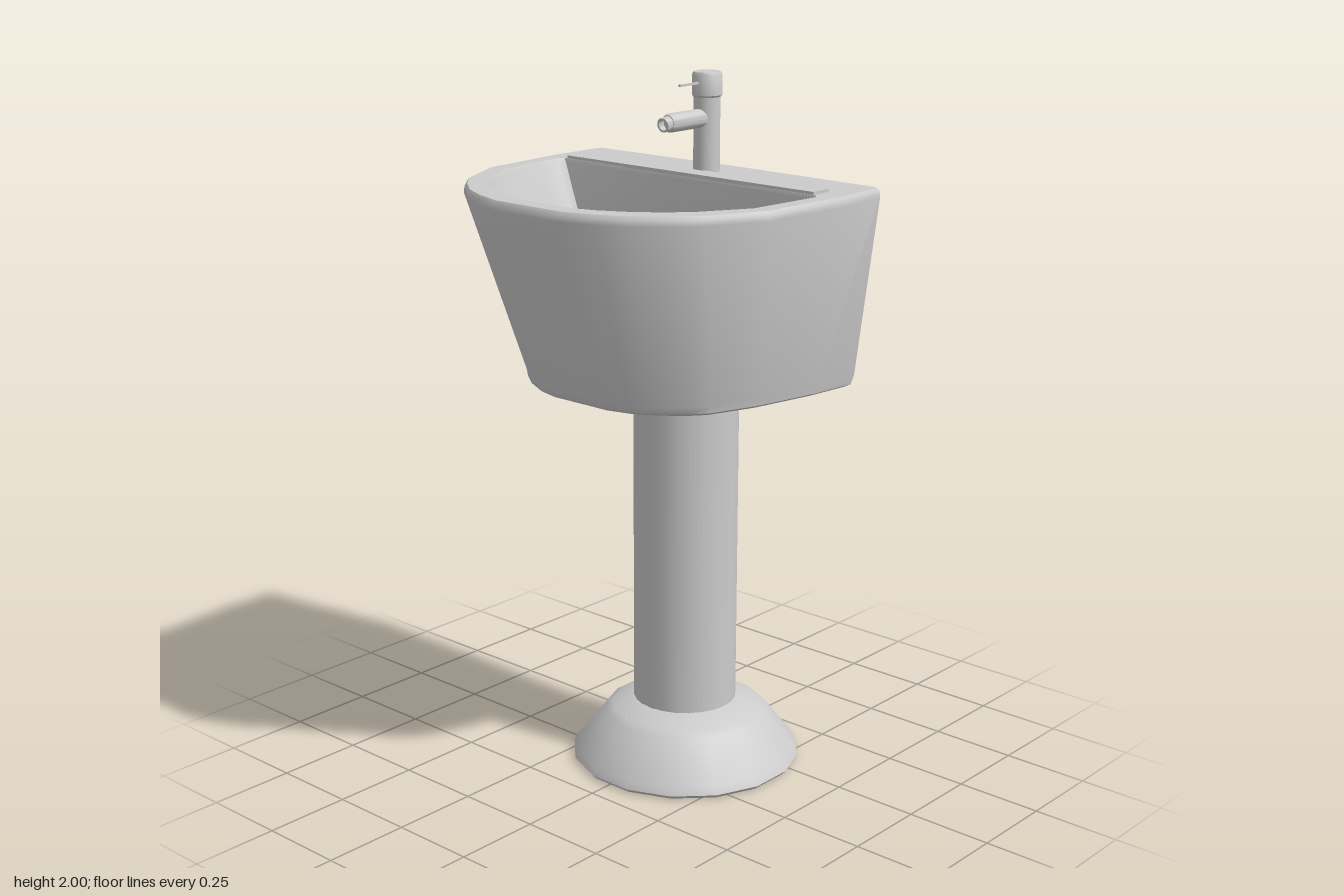
import * as THREE from 'three';
import { toCreasedNormals } from 'three/addons/utils/BufferGeometryUtils.js';

// Half outlines [x, z], from front centre round the left side to back centre
const RIM = [[0, .475], [.118, .475], [.208, .447], [.285, .41], [.366, .345], [.425, .28],
  [.505, .118], [.525, -.17], [.518, -.33], [.505, -.35], [0, -.36]];
const FOOT = [[0, .29], [.1, .29], [.17, .272], [.23, .24], [.295, .19], [.335, .14],
  [.385, 0], [.425, -.2], [.44, -.34], [.425, -.366], [0, -.374]];
const MOUTH = [[0, .41], [.1, .41], [.17, .388], [.24, .352], [.31, .3], [.365, .24],
  [.44, .11], [.453, -.03], [.46, -.115], [.448, -.133], [0, -.137]];
const FLOOR = [[0, .27], [.06, .27], [.11, .258], [.16, .235], [.205, .2], [.24, .16],
  [.285, .06], [.295, -.05], [.298, -.12], [.29, -.135], [0, -.138]];

const scale = (o, s) => o.map(([x, z]) => [x * s, .05 + (z - .05) * s]);
const mix = (a, b, t) => a.map(([x, z], i) => [x + (b[i][0] - x) * t, z + (b[i][1] - z) * t]);

// Skin a stack of mirrored outlines and close both ends
function loft(rings) {
  const pos = [], index = [];
  let n = 0;
  for (const [half, y] of rings) {
    const loop = [...half, ...half.slice(1, -1).reverse().map(([x, z]) => [-x, z])];
    n = loop.length;
    for (const [x, z] of loop) pos.push(x, y, z);
  }
  const last = (rings.length - 1) * n;
  const bottom = rings.length * n, top = bottom + 1;
  pos.push(0, rings[0][1], 0, 0, rings[rings.length - 1][1], .05);
  for (let i = 0; i < n; i++) {
    const j = (i + 1) % n;
    for (let r = 0; r < last; r += n) {
      index.push(r + i, r + j, r + n + j, r + i, r + n + j, r + n + i);
    }
    index.push(bottom, j, i, top, last + i, last + j);
  }
  const geo = new THREE.BufferGeometry();
  geo.setAttribute('position', new THREE.Float32BufferAttribute(pos, 3));
  geo.setIndex(index);
  return toCreasedNormals(geo, .75);
}

function lathe(profile, segments, phi = 0) {
  const geo = new THREE.LatheGeometry(profile.map(p => new THREE.Vector2(...p)), segments, phi);
  return toCreasedNormals(geo, .6);
}

export function createModel() {
  const model = new THREE.Group();
  model.name = 'pedestalBasin';
  const material = new THREE.MeshStandardMaterial({ color: 0xcccccc });
  const add = (name, geo, x = 0, y = 0, z = 0, parent = model) => {
    const mesh = new THREE.Mesh(geo, material);
    mesh.name = name;
    mesh.position.set(x, y, z);
    parent.add(mesh);
    return mesh;
  };

  // Basin: outer wall, rounded rim, then down into the bowl
  add('basin', loft([
    [scale(FOOT, .96), 1.165], [scale(FOOT, .99), 1.172], [FOOT, 1.19],
    [RIM, 1.7], [scale(RIM, .995), 1.716], [scale(RIM, .98), 1.725],
    [scale(MOUTH, 1.015), 1.725], [MOUTH, 1.715],
    [mix(MOUTH, FLOOR, .75), 1.37], [mix(MOUTH, FLOOR, .92), 1.3], [FLOOR, 1.275],
  ]));
  // Slightly raised lip behind the bowl
  add('deckLip', new THREE.BoxGeometry(.89, .01, .065), 0, 1.728, -.17);

  // Pedestal
  add('pedestalColumn', new THREE.CylinderGeometry(.15, .15, 1.01, 24), .005, .675, -.145);
  add('pedestalBase', lathe([[0, .004], [.325, .004], [.335, .015], [.325, .035], [.235, .148],
    [.215, .16], [.15, .188], [0, .19]], 16, Math.PI / 16), .008, 0, -.145);

  // Tap, built around its own upright axis
  const tap = new THREE.Group();
  tap.name = 'tap';
  tap.position.set(-.002, 0, -.233);
  model.add(tap);
  add('tapBody', new THREE.CylinderGeometry(.037, .037, .22, 24), 0, 1.825, 0, tap);
  add('tapHead', lathe([[0, 1.932], [.038, 1.932], [.042, 1.937], [.042, 1.992], [.038, 2], [0, 2]], 24),
    0, 0, 0, tap);
  add('tapLever', new THREE.BoxGeometry(.008, .006, .09), 0, 1.971, .07, tap);
  add('tapSpout', lathe([[0, 0], [.026, 0], [.026, .14], [.022, .148], [0, .148]], 20), 0, 1.875, .015, tap)
    .rotation.x = Math.PI / 2;
  // Hollow nozzle
  add('tapNozzle', lathe([[.02, 0], [.02, .03], [.014, .03], [.014, .004], [0, .004]], 16),
    0, 1.876, .153, tap).rotation.x = Math.PI / 2 + .15;

  return model;
}
